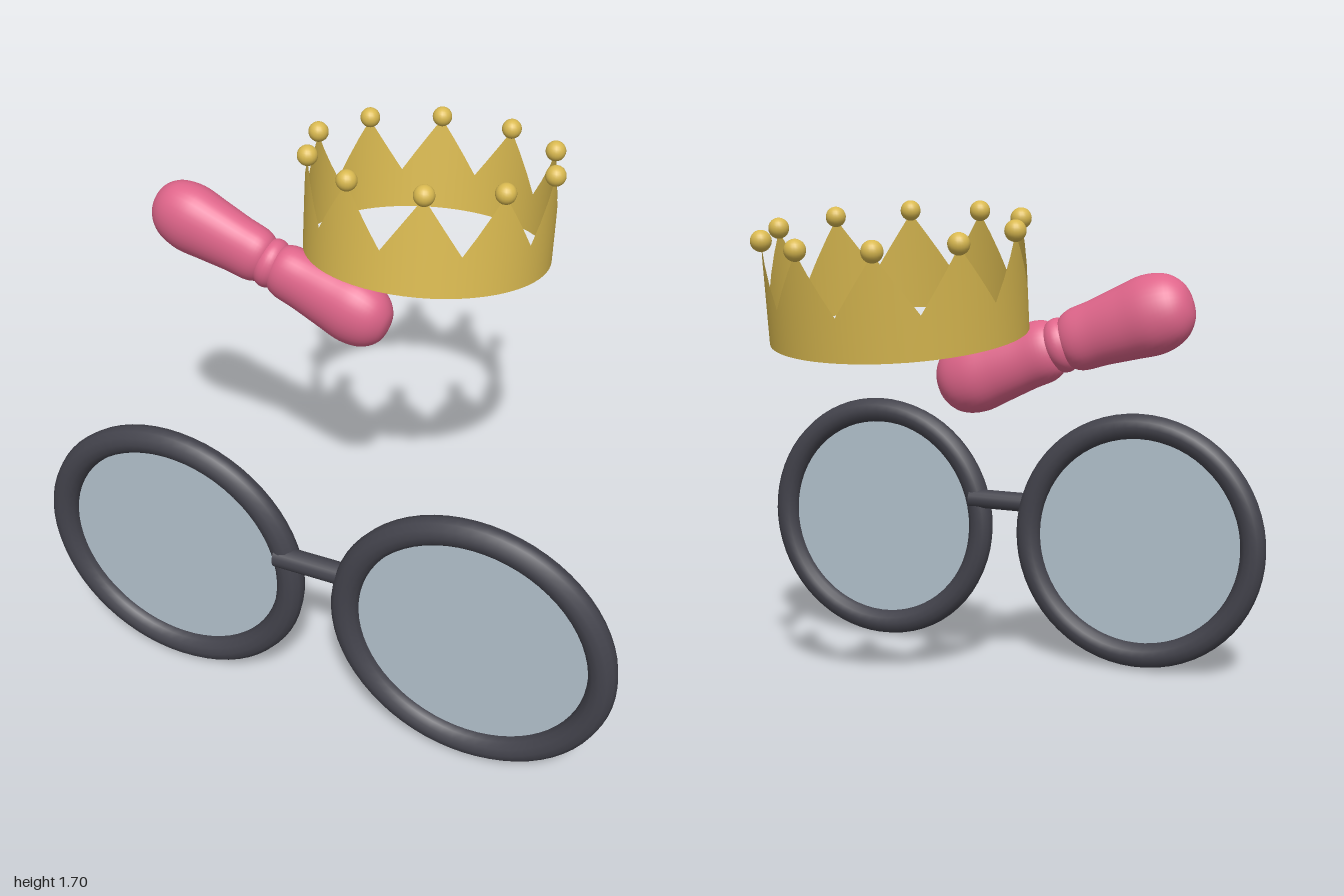
import * as THREE from 'three';

const material = (name, color, side = THREE.FrontSide) => {
  const m = new THREE.MeshStandardMaterial({ color, side });
  m.name = name;
  return m;
};

function addMesh(parent, name, geometry, mat, x = 0, y = 0, z = 0) {
  const mesh = new THREE.Mesh(geometry, mat);
  mesh.name = name;
  mesh.position.set(x, y, z);
  parent.add(mesh);
  return mesh;
}

// Round spectacles: two rims with lenses, slightly staggered, and a bridge
function createGlasses() {
  const glasses = new THREE.Group();
  glasses.name = 'glasses';
  const frame = material('dark frame', 0x43434c);
  const glass = material('pale lens', 0xb2c1cc, THREE.DoubleSide);

  for (const [side, x, y, z] of [['right', -0.531, 0.482, 0.623], ['left', 0.526, 0.476, 0.657]]) {
    const rim = addMesh(glasses, side + 'Rim', new THREE.TorusGeometry(0.424, 0.046, 12, 64), frame, x, y, z);
    rim.scale.z = 0.93;
    addMesh(glasses, side + 'Lens', new THREE.CircleGeometry(0.41, 64), glass, x, y, z);
  }

  const bar = new THREE.CylinderGeometry(0.036, 0.036, 0.28, 16).rotateZ(Math.PI / 2);
  addMesh(glasses, 'bridge', bar, frame, -0.005, 0.587, 0.64);
  return glasses;
}

// Tilted crown: open band with zigzag top and a ball on each point
function createCrown() {
  const crown = new THREE.Group();
  crown.name = 'crown';
  const gold = material('gold', 0xd9b950, THREE.DoubleSide);
  const points = 10, radius = 0.414, valley = 0.137, tip = 0.325;

  const band = new THREE.CylinderGeometry(radius, radius, 1, points * 6, 1, true).translate(0, 0.5, 0);
  const pos = band.attributes.position, uv = band.attributes.uv;
  for (let i = 0; i < pos.count; i++) {
    if (pos.getY(i) < 0.5) continue;
    const phase = (uv.getX(i) * points) % 1;
    pos.setY(i, valley + (tip - valley) * (1 - Math.abs(2 * phase - 1)));
  }
  addMesh(crown, 'crownBand', band, gold);

  const ball = new THREE.SphereGeometry(0.034, 20, 14);
  for (let i = 0; i < points; i++) {
    const a = (i + 0.5) / points * Math.PI * 2;
    addMesh(crown, 'crownBall', ball, gold, radius * Math.sin(a), 0.333, radius * Math.cos(a));
  }

  crown.position.set(0.005, 1.288, -0.23);
  crown.rotation.x = -0.139;
  return crown;
}

// Puffy bow: two flattened lobes and a knot
function createBow() {
  const bow = new THREE.Group();
  bow.name = 'bow';
  const pink = material('pink', 0xdf658a);

  const profile = new THREE.SplineCurve([
    [0, 0], [0.07, 0.012], [0.1, 0.05], [0.107, 0.13], [0.119, 0.23],
    [0.128, 0.32], [0.108, 0.395], [0.06, 0.44], [0, 0.452],
  ].map(([r, u]) => new THREE.Vector2(r, u))).getPoints(40);
  profile.forEach(p => { p.x = Math.max(p.x, 0); });
  const lobe = new THREE.LatheGeometry(profile, 36).rotateZ(-Math.PI / 2);

  for (const side of [-1, 1]) {
    const mesh = addMesh(bow, side < 0 ? 'rightLobe' : 'leftLobe', lobe, pink);
    mesh.scale.z = 0.8;
    mesh.rotation.set(0.15, side < 0 ? Math.PI : 0, 0);
    if (side < 0) mesh.rotation.x = -0.15 + 0.3;
  }
  const knot = addMesh(bow, 'knot', new THREE.SphereGeometry(1, 28, 20), pink);
  knot.scale.set(0.058, 0.09, 0.08);

  bow.position.set(-0.46, 1.25, 0);
  bow.rotation.z = -0.345;
  return bow;
}

export function createModel() {
  const model = new THREE.Group();
  model.name = 'accessories';
  model.add(createGlasses(), createCrown(), createBow());
  return model;
}
